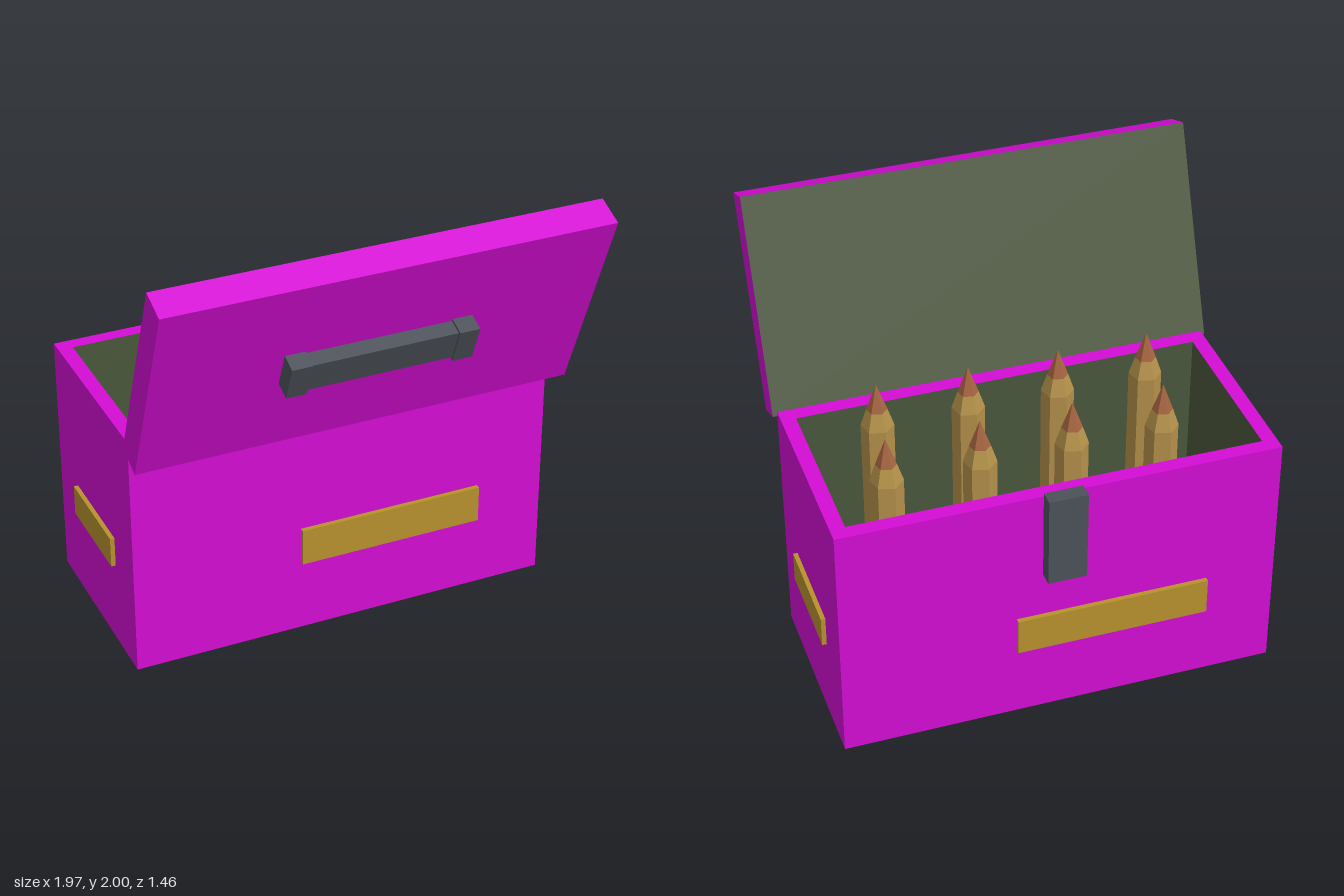
import * as THREE from 'three';

const material = (name, color) => {
  const m = new THREE.MeshStandardMaterial({ color });
  m.name = name;
  return m;
};

// Hard-edged copy of a geometry, for faceted parts
const faceted = (geometry) => {
  const g = geometry.toNonIndexed();
  g.computeVertexNormals();
  return g;
};

export function createModel() {
  const magenta = material('magenta paint', 0xd40dd4);
  const green = material('dark green lining', 0x4a573c);
  const gold = material('gold plate', 0xb8912e);
  const grey = material('dark grey metal', 0x4c5159);
  const brass = material('brass', 0xb5924a);
  const copper = material('copper', 0xa4643f);

  const model = new THREE.Group();
  model.name = 'openChest';

  // Box given by its min and max corners; liningFace is the index of a green face
  const addBox = (parent, name, mat, [x0, y0, z0], [x1, y1, z1], liningFace = -1) => {
    const geometry = new THREE.BoxGeometry(x1 - x0, y1 - y0, z1 - z0);
    const mats = liningFace < 0 ? mat
      : Array.from({ length: 6 }, (_, i) => (i === liningFace ? green : mat));
    const mesh = new THREE.Mesh(geometry, mats);
    mesh.position.set((x0 + x1) / 2, (y0 + y1) / 2, (z0 + z1) / 2);
    mesh.name = name;
    parent.add(mesh);
    return mesh;
  };

  // Body: four walls lined in green, and a floor
  const X = 0.967, XI = 0.902, TOP = 1.137, FRONT = 0.245, BACK = -0.665;
  const FI = 0.175, BI = -0.6, FLOOR = 0.065;
  const body = new THREE.Group();
  body.name = 'body';
  model.add(body);
  addBox(body, 'frontWall', magenta, [-X, 0, FI], [X, TOP, FRONT], 5);
  addBox(body, 'backWall', magenta, [-X, 0, BACK], [X, TOP, BI], 4);
  addBox(body, 'leftWall', magenta, [XI, 0, BI], [X, TOP, FI], 1);
  addBox(body, 'rightWall', magenta, [-X, 0, BI], [-XI, TOP, FI], 0);
  addBox(body, 'floor', magenta, [-XI, 0, BI], [XI, FLOOR, FI]);

  // Gold plates on all four sides
  addBox(model, 'frontPlate', gold, [-0.2, 0.342, FRONT], [0.65, 0.513, FRONT + 0.022]);
  addBox(model, 'backPlate', gold, [-0.655, 0.342, BACK - 0.022], [0.2, 0.513, BACK]);
  addBox(model, 'leftPlate', gold, [X, 0.4, -0.438], [X + 0.02, 0.54, 0.022]);
  addBox(model, 'rightPlate', gold, [-X - 0.02, 0.4, -0.438], [-X, 0.54, 0.022]);

  // Latch on the back
  addBox(model, 'latch', grey, [-0.085, 0.728, -0.732], [0.085, 1.152, BACK]);

  // Open lid, leaning forward, with its handle on the outside
  const lid = new THREE.Group();
  lid.name = 'lid';
  lid.position.set(0, 1.532, 0.486);
  lid.rotation.x = 0.378;
  model.add(lid);
  addBox(lid, 'lidPanel', magenta, [-0.987, -0.476, -0.07], [0.987, 0.476, 0.07], 5);
  addBox(lid, 'handleBar', grey, [-0.33, -0.075, 0.07], [0.33, 0.075, 0.138]);
  for (const s of [-1, 1]) {
    const end = addBox(lid, 'handleEnd', grey, [-0.045, -0.086, 0.07], [0.045, 0.086, 0.149]);
    end.position.x = s * 0.37;
  }

  // Two rows of cartridges standing on the floor
  const SIDES = 6, R = 0.071, SHOULDER = 1.17, NECK = 1.25, TIP = 1.375;
  const profile = (points) => faceted(
    new THREE.LatheGeometry(points.map(([r, y]) => new THREE.Vector2(r, y)), SIDES));
  const casing = profile([[0, FLOOR], [R, FLOOR], [R, SHOULDER], [0.045, NECK]]);
  const tip = profile([[0.045, NECK], [0, TIP]]);
  for (const [x0, z] of [[-0.6, -0.02], [-0.53, -0.398]]) {
    for (let i = 0; i < 4; i++) {
      const cartridge = new THREE.Group();
      cartridge.name = 'cartridge';
      const shell = new THREE.Mesh(casing, brass);
      shell.name = 'casing';
      const point = new THREE.Mesh(tip, copper);
      point.name = 'tip';
      cartridge.add(shell, point);
      cartridge.position.set(x0 + i * 0.4, 0, z);
      cartridge.rotation.y = 0.25;
      model.add(cartridge);
    }
  }
  return model;
}
